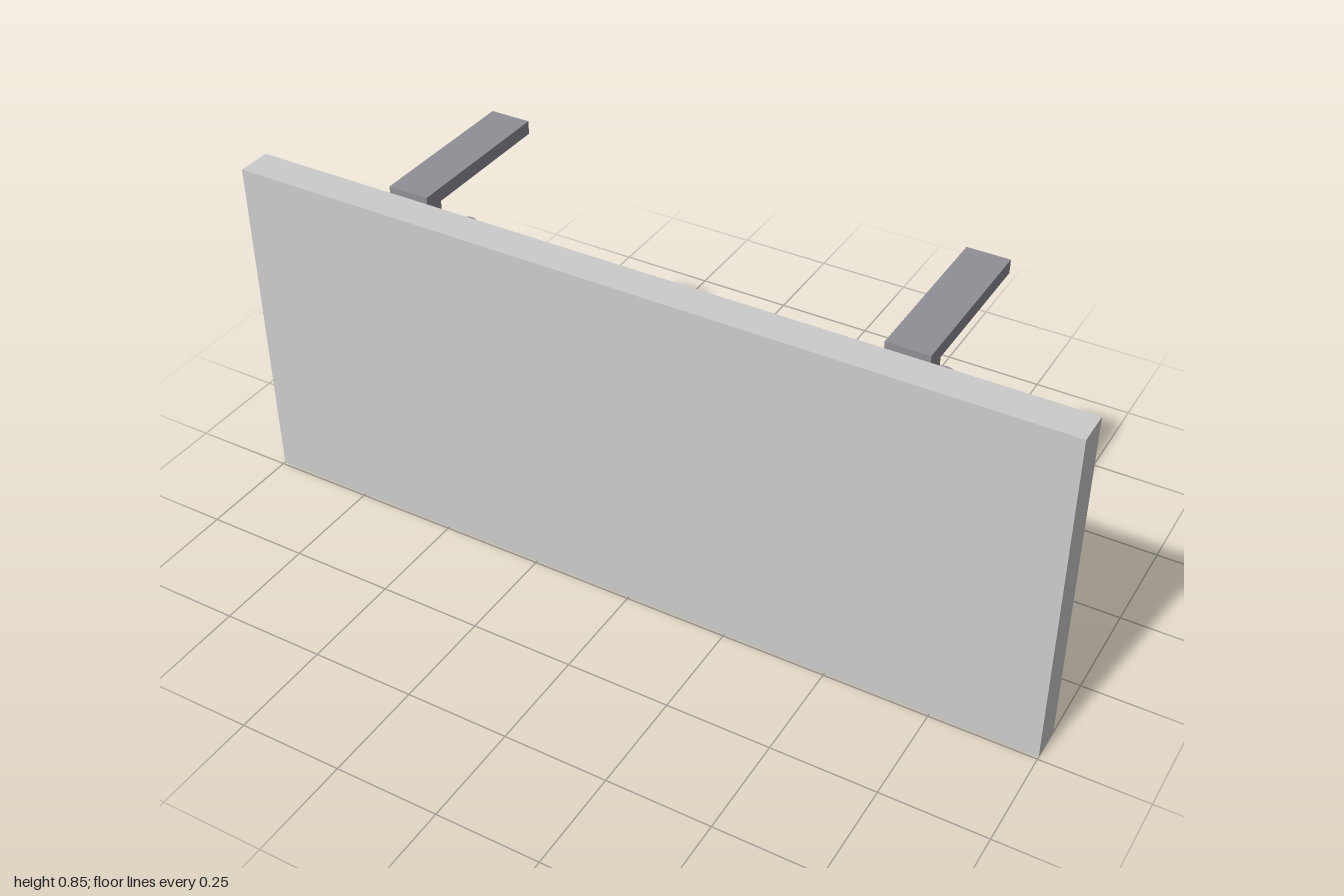
import * as THREE from 'three';

export function createModel() {
  const model = new THREE.Group();
  const panelMat = new THREE.MeshStandardMaterial({ color: 0xcccccc });
  const metalMat = new THREE.MeshStandardMaterial({ color: 0x8f8f95 });

  const add = (name, geometry, material, x, y, z) => {
    const mesh = new THREE.Mesh(geometry, material);
    mesh.name = name;
    mesh.position.set(x, y, z);
    model.add(mesh);
  };

  // Upright front board
  add('panel', new THREE.BoxGeometry(2, 0.835, 0.083), panelMat, 0, 0.4175, 0.2015);

  // L-shaped bracket, profile drawn in (z, y) and extruded across x
  const width = 0.1;
  const profile = new THREE.Shape([
    [0.16, 0.1], [0.16, 0.851], [-0.242, 0.851],
    [-0.242, 0.818], [0.11, 0.818], [0.11, 0.1],
  ].map(([z, y]) => new THREE.Vector2(z, y)));
  const bracket = new THREE.ExtrudeGeometry(profile, { depth: width, bevelEnabled: false });
  bracket.translate(0, 0, -width / 2).rotateY(-Math.PI / 2);

  // Free-standing round rod beneath each bracket arm
  const rod = new THREE.CylinderGeometry(0.027, 0.027, 0.501, 32);

  for (const side of [1, -1]) {
    const label = side > 0 ? 'left' : 'right';
    add(label + 'Bracket', bracket, metalMat, side * 0.6, 0, 0);
    add(label + 'Rod', rod, metalMat, side * 0.6, 0.418, -0.04);
  }
  return model;
}
